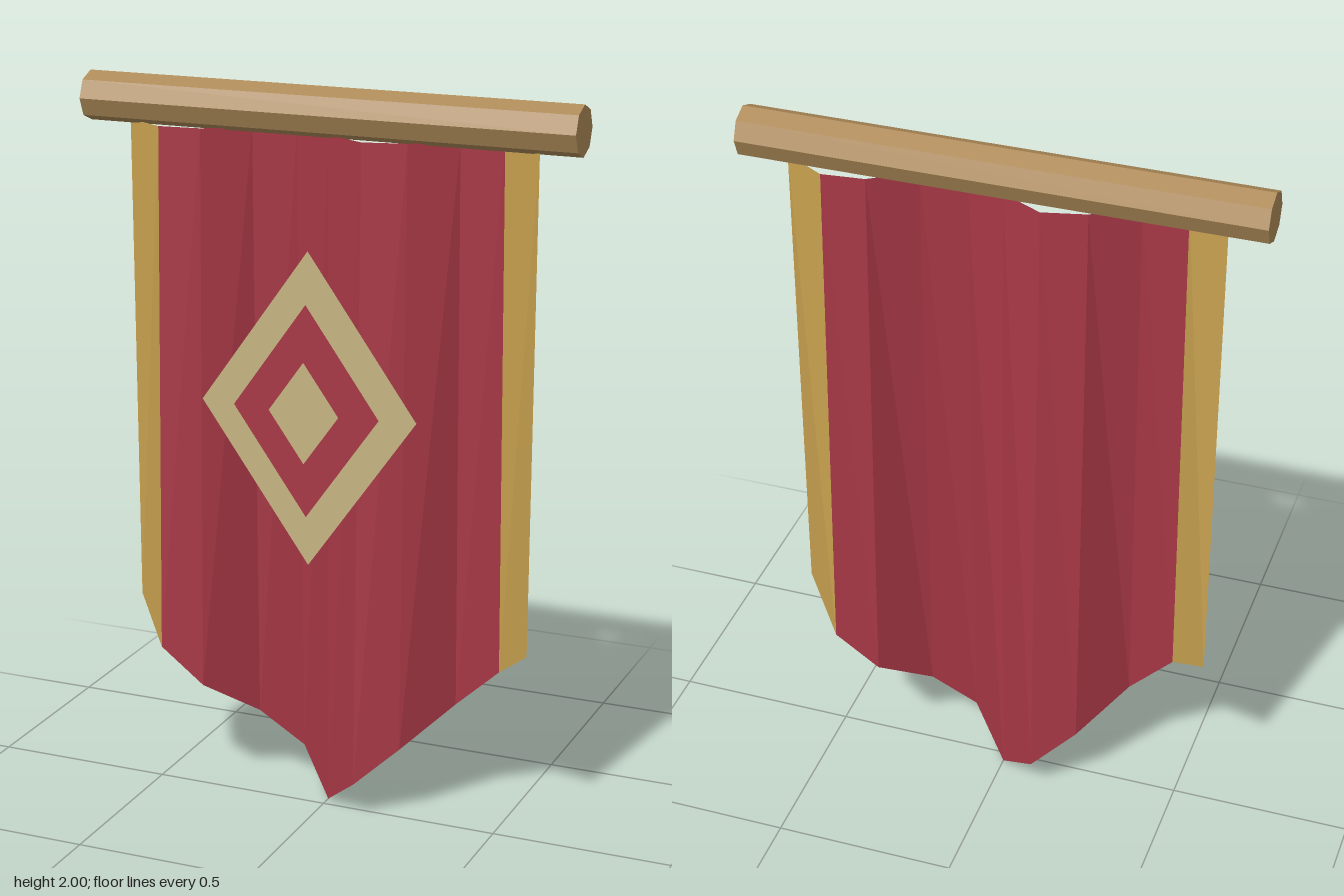
import * as THREE from 'three';

const material = (name, color) => {
  const m = new THREE.MeshStandardMaterial({ color, flatShading: true, side: THREE.DoubleSide });
  m.name = name;
  return m;
};

const CENTRE_Z = -0.034; // plane of the pole and the hanging cloth
const FOLD = 0.116;      // width of one pleat
const TOP = 1.873;

export function createModel() {
  const red = material('red cloth', 0xa83846);
  const gold = material('gold trim', 0xc9a24f);
  const cream = material('cream emblem', 0xc6b482);
  const wood = material('wood', 0xad8a58);

  const group = new THREE.Group();
  group.name = 'hangingBanner';

  const add = (name, geometry, mat, x = 0, y = 0, z = 0) => {
    const mesh = new THREE.Mesh(geometry, mat);
    mesh.name = name;
    mesh.position.set(x, y, z);
    group.add(mesh);
    return mesh;
  };

  // Pole: eight-sided, lying along x
  const pole = new THREE.CylinderGeometry(0.067, 0.067, 1.38, 8);
  pole.rotateZ(Math.PI / 2);
  add('pole', pole, wood, 0, 1.933, CENTRE_Z);

  // Pleated cloth between two fold numbers; waves deepen towards the pointed hem
  const cloth = (from, to) => {
    const count = to - from;
    const geometry = new THREE.PlaneGeometry(1, 1, count, 1);
    const p = geometry.attributes.position;
    for (let i = 0; i < p.count; i++) {
      const fold = from + (i % (count + 1));
      const atTop = i <= count;
      const x = fold * FOLD;
      const y = atTop ? TOP : 0.9 * Math.abs(x);
      p.setXYZ(i, x, y, Math.sin(1.3 * fold) * (atTop ? 0.0625 : 0.105));
    }
    geometry.computeVertexNormals();
    return geometry;
  };
  add('cloth', cloth(-4, 4), red, 0, 0, CENTRE_Z);
  add('rightTrim', cloth(-5, -4), gold, 0, 0, CENTRE_Z);
  add('leftTrim', cloth(4, 5), gold, 0, 0, CENTRE_Z);

  // Emblem: three flat diamonds layered in front of the cloth
  const diamond = (name, halfWidth, halfHeight, mat, z) => {
    const geometry = new THREE.CircleGeometry(1, 4);
    geometry.scale(halfWidth, halfHeight, 1);
    add(name, geometry, mat, 0, 1.167, z);
  };
  diamond('outerDiamond', 0.305, 0.428, cream, 0.105);
  diamond('middleDiamond', 0.206, 0.289, red, 0.12);
  diamond('innerDiamond', 0.099, 0.138, cream, 0.135);

  return group;
}
